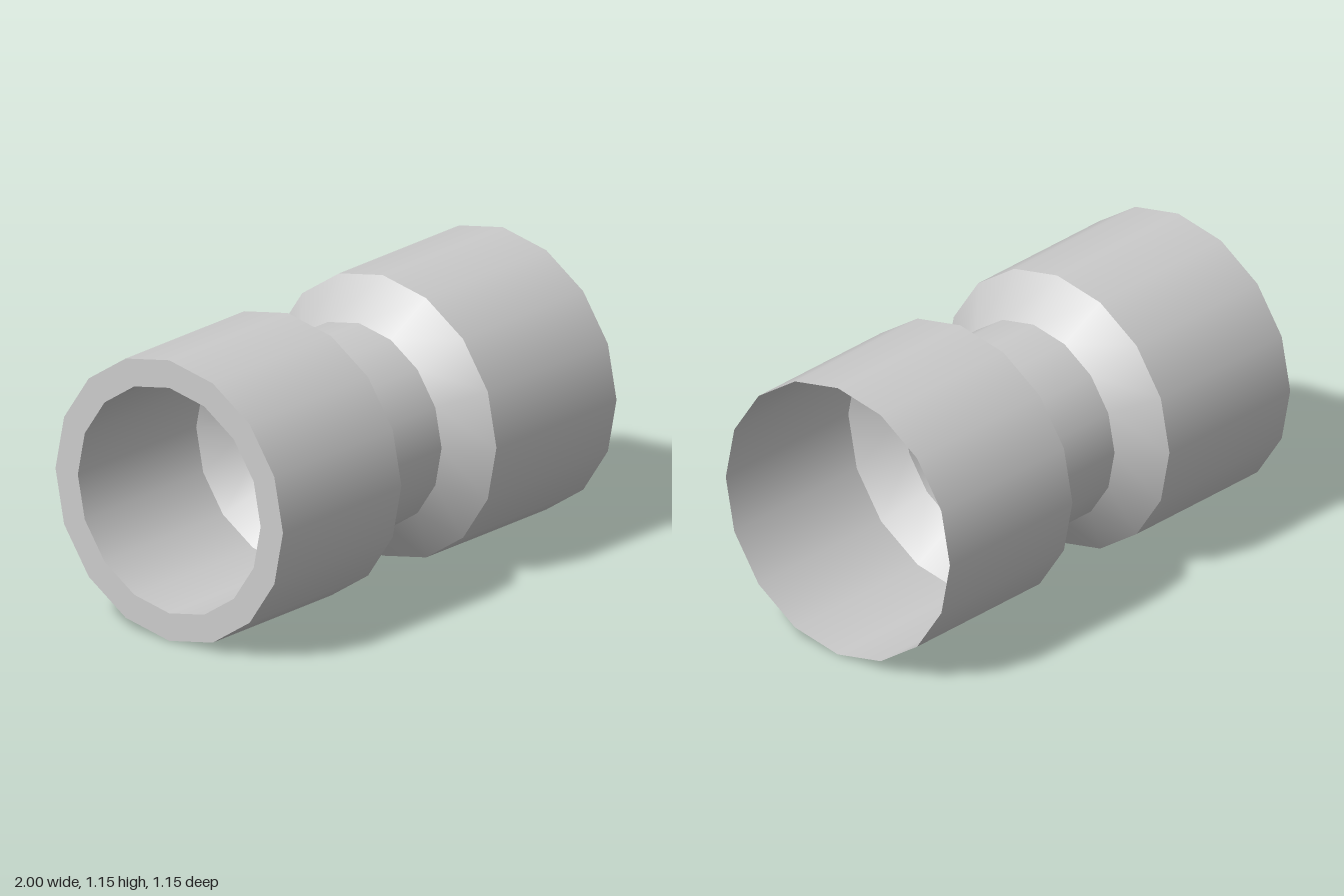
import * as THREE from 'three';

const SIDES = 16;
const R = 0.5775;      // coupling radius
const NECK = 0.4175;   // waist radius
const BORE = 0.464;    // socket radius
const BORE_END = 0.312;

export function createModel() {
  const group = new THREE.Group();
  const material = new THREE.MeshStandardMaterial({ color: 0xcccccc, side: THREE.DoubleSide });

  const add = (name, geometry) => {
    const mesh = new THREE.Mesh(geometry, material);
    mesh.name = name;
    mesh.position.y = R;
    group.add(mesh);
  };

  // Open tube or cone along x, from radius r0 at x0 to radius r1 at x1
  const tube = (name, x0, r0, x1, r1) => {
    const g = new THREE.CylinderGeometry(r1, r0, x1 - x0, SIDES, 1, true);
    g.rotateZ(-Math.PI / 2).translate((x0 + x1) / 2, 0, 0);
    add(name, g);
  };

  // Outer skin: two wide sleeves joined by a narrow waist
  tube('rightSleeve', -1, R, -0.29, R);
  tube('rightShoulder', -0.29, R, -0.15, NECK);
  tube('neck', -0.15, NECK, 0.14, NECK);
  tube('leftShoulder', 0.14, NECK, 0.28, R);
  tube('leftSleeve', 0.28, R, 1, R);

  // Thick rim and tapered blind socket at the -x end; the +x end stays open
  add('rim', new THREE.RingGeometry(BORE, R, SIDES).rotateY(-Math.PI / 2).translate(-1, 0, 0));
  tube('socketWall', -1, BORE, -0.29, BORE);
  tube('socketTaper', -0.29, BORE, -0.15, BORE_END);
  add('socketFloor', new THREE.CircleGeometry(BORE_END, SIDES).rotateY(-Math.PI / 2).translate(-0.15, 0, 0));

  return group;
}
